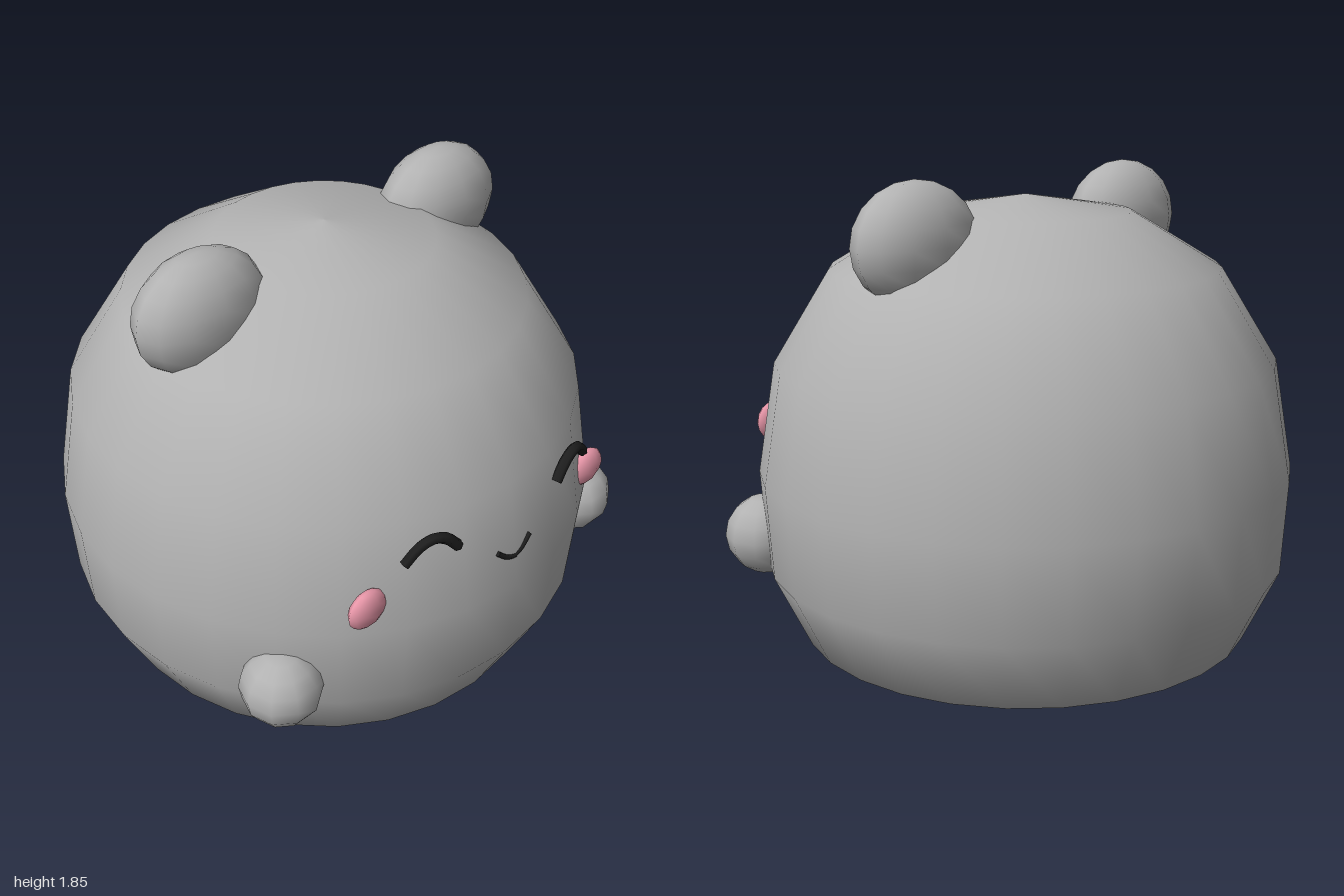
import * as THREE from 'three';

export function createModel() {
  const model = new THREE.Group();
  const mat = (name, color, side = THREE.FrontSide) =>
    Object.assign(new THREE.MeshStandardMaterial({ color, side }), { name });
  const grey = mat('softGrey', 0xb2b2b2);
  const pink = mat('blushPink', 0xea98aa);
  const black = mat('faceBlack', 0x1e1e1e, THREE.DoubleSide);

  const add = (name, geometry, material) => {
    const mesh = new THREE.Mesh(geometry, material);
    mesh.name = name;
    model.add(mesh);
    return mesh;
  };
  const ball = (name, material, pos, radii, w = 12, h = 10) => {
    const mesh = add(name, new THREE.SphereGeometry(1, w, h), material);
    mesh.position.set(...pos);
    mesh.scale.set(...radii);
  };
  // Tube through a few points, closed by disc ends
  const stroke = (name, points, radius) => {
    const curve = new THREE.CatmullRomCurve3(points.map((p) => new THREE.Vector3(...p)));
    const tube = add(name, new THREE.TubeGeometry(curve, 10, radius, 6), black);
    for (const t of [0, 1]) {
      const cap = new THREE.Mesh(new THREE.CircleGeometry(radius, 6), black);
      cap.name = name + 'End';
      const p = curve.getPointAt(t);
      cap.position.copy(p);
      cap.lookAt(p.clone().add(curve.getTangentAt(t)));
      tube.add(cap);
    }
  };

  // Round body, flat underneath
  const profile = [
    [0, 0], [0.6, 0.005], [0.85, 0.125], [0.98, 0.4], [1, 0.75],
    [0.93, 1.16], [0.72, 1.5], [0.39, 1.7], [0, 1.76],
  ].map(([r, y]) => new THREE.Vector2(r, y));
  add('body', new THREE.LatheGeometry(profile, 28), grey);

  // Paired parts
  for (const [side, s] of [['left', 1], ['right', -1]]) {
    ball(side + 'Ear', grey, [s * 0.55, 1.63, 0], [0.26, 0.22, 0.16]);
    ball(side + 'Paw', grey, [s * 0.76, 0.5, 0.63], [0.15, 0.15, 0.15], 10, 8);
    ball(side + 'Cheek', pink, [s * 0.55, 0.865, 0.825], [0.082, 0.076, 0.037], 10, 8);

    // Smiling closed eye
    stroke(side + 'Eye', [
      [s * 0.44, 1.03, 0.88], [s * 0.39, 1.085, 0.895], [s * 0.343, 1.105, 0.91],
      [s * 0.293, 1.085, 0.92], [s * 0.243, 1.03, 0.93],
    ], 0.02);

    // Half of the mouth
    stroke(side + 'Mouth', [
      [s * 0.08, 0.915, 0.966], [s * 0.035, 0.878, 0.972], [0, 0.867, 0.975],
    ], 0.01);
  }
  return model;
}
